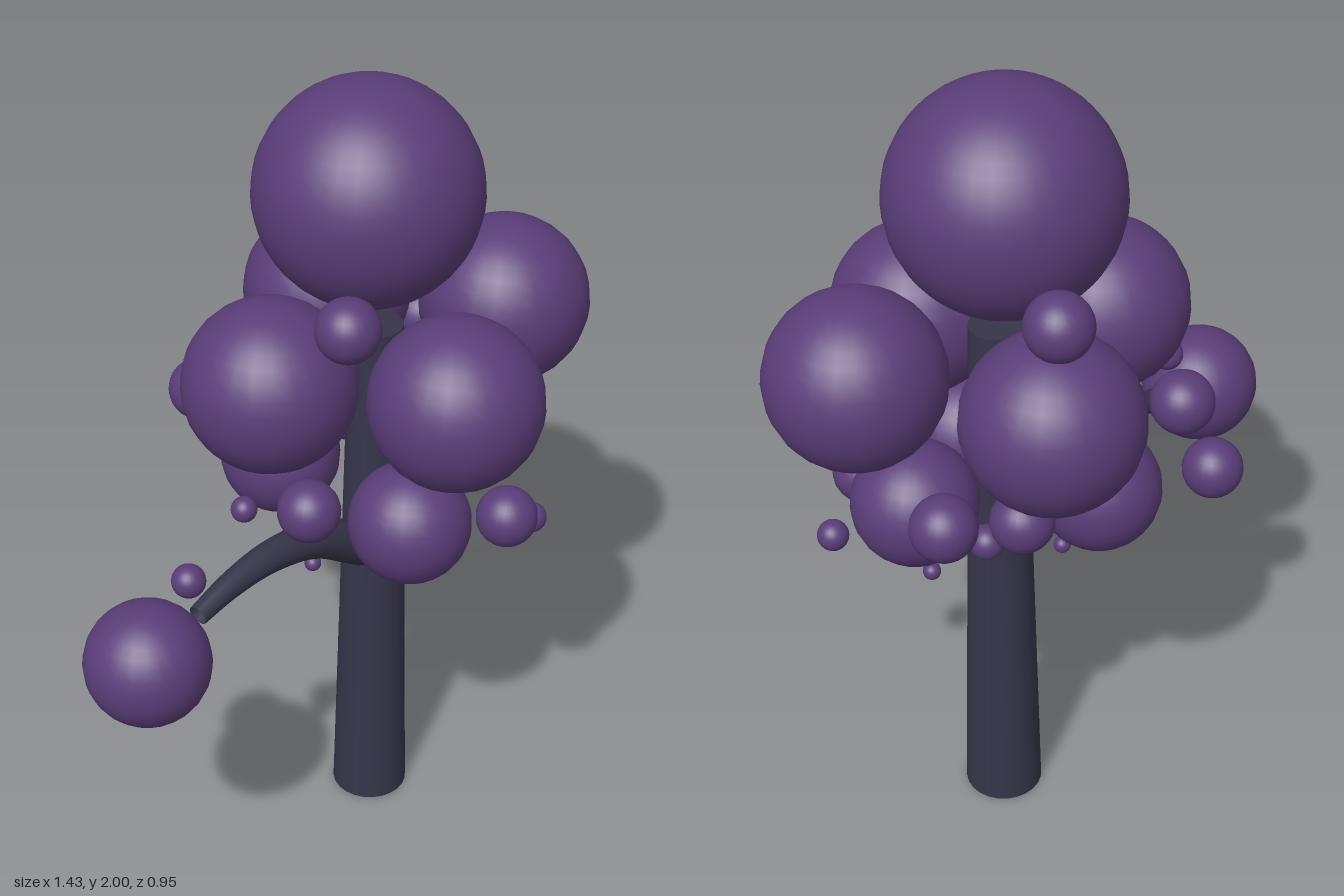
import * as THREE from 'three';

const leafMaterial = new THREE.MeshStandardMaterial({ color: 0x5a3d78 });
const barkMaterial = new THREE.MeshStandardMaterial({ color: 0x36354a, side: THREE.DoubleSide });

// Foliage balls as [x, y, z, radius]
const foliage = {
  crown: [[0.18, 1.735, -0.026, 0.265]],
  upperFoliage: [
    [-0.103, 1.34, -0.075, 0.205], [0.507, 1.375, 0.127, 0.205],
    [0.143, 1.315, 0.27, 0.205], [0.322, 1.335, -0.27, 0.205],
  ],
  lowerFoliage: [
    [0.087, 0.975, 0.19, 0.147], [0.43, 1.03, 0.04, 0.147], [0.09, 0.99, -0.22, 0.147],
  ],
  branchFoliage: [[-0.57, 0.835, -0.037, 0.148]],
  smallPuff: [
    [-0.08, 1.555, 0.137, 0.075], [0.4, 1.655, -0.348, 0.075], [0.592, 1.175, -0.19, 0.075],
    [-0.108, 1.045, 0.046, 0.075], [-0.062, 1.2, -0.338, 0.075], [0.318, 1.015, -0.18, 0.075],
    [-0.417, 0.727, -0.195, 0.078], [0.318, 0.92, 0.305, 0.075],
  ],
  tinyPuff: [
    [-0.435, 0.993, -0.03, 0.04], [0.46, 0.828, 0.28, 0.038], [0.31, 0.89, -0.067, 0.042],
    [-0.125, 0.97, -0.145, 0.032], [0.427, 0.845, 0, 0.021], [0.06, 0.732, -0.09, 0.021],
  ],
};

// Tube whose radius shrinks evenly from r0 to r1 along the curve
function taperedTube(curve, segments, r0, r1, sides) {
  const geometry = new THREE.TubeGeometry(curve, segments, 1, sides, false);
  const pos = geometry.attributes.position;
  const p = new THREE.Vector3();
  for (let i = 0; i < pos.count; i++) {
    const t = Math.floor(i / (sides + 1)) / segments;
    const centre = curve.getPointAt(t);
    p.fromBufferAttribute(pos, i).sub(centre).multiplyScalar(THREE.MathUtils.lerp(r0, r1, t)).add(centre);
    pos.setXYZ(i, p.x, p.y, p.z);
  }
  return geometry;
}

export function createModel() {
  const tree = new THREE.Group();
  tree.name = 'tree';

  // Trunk tapering up into the crown
  const trunk = new THREE.Mesh(new THREE.CylinderGeometry(0.064, 0.096, 1.4, 24), barkMaterial);
  trunk.name = 'trunk';
  trunk.position.set(0.184, 0.7, 0);
  tree.add(trunk);

  // Arched side branch
  const path = new THREE.CatmullRomCurve3([
    new THREE.Vector3(0.18, 0.765, 0), new THREE.Vector3(0.09, 0.823, -0.005),
    new THREE.Vector3(-0.02, 0.885, -0.015), new THREE.Vector3(-0.17, 0.912, -0.025),
    new THREE.Vector3(-0.3, 0.902, -0.03), new THREE.Vector3(-0.41, 0.878, -0.03),
  ]);
  const branch = new THREE.Mesh(taperedTube(path, 24, 0.06, 0.025, 16), barkMaterial);
  branch.name = 'branch';
  tree.add(branch);

  // Foliage balls
  for (const [name, balls] of Object.entries(foliage)) {
    const group = new THREE.Group();
    group.name = name;
    for (const [x, y, z, r] of balls) {
      const detail = r > 0.25 ? 32 : 24;
      const ball = new THREE.Mesh(new THREE.SphereGeometry(r, detail, detail * 0.75), leafMaterial);
      ball.name = name + 'Ball';
      ball.position.set(x, y, z);
      group.add(ball);
    }
    tree.add(group);
  }
  return tree;
}
